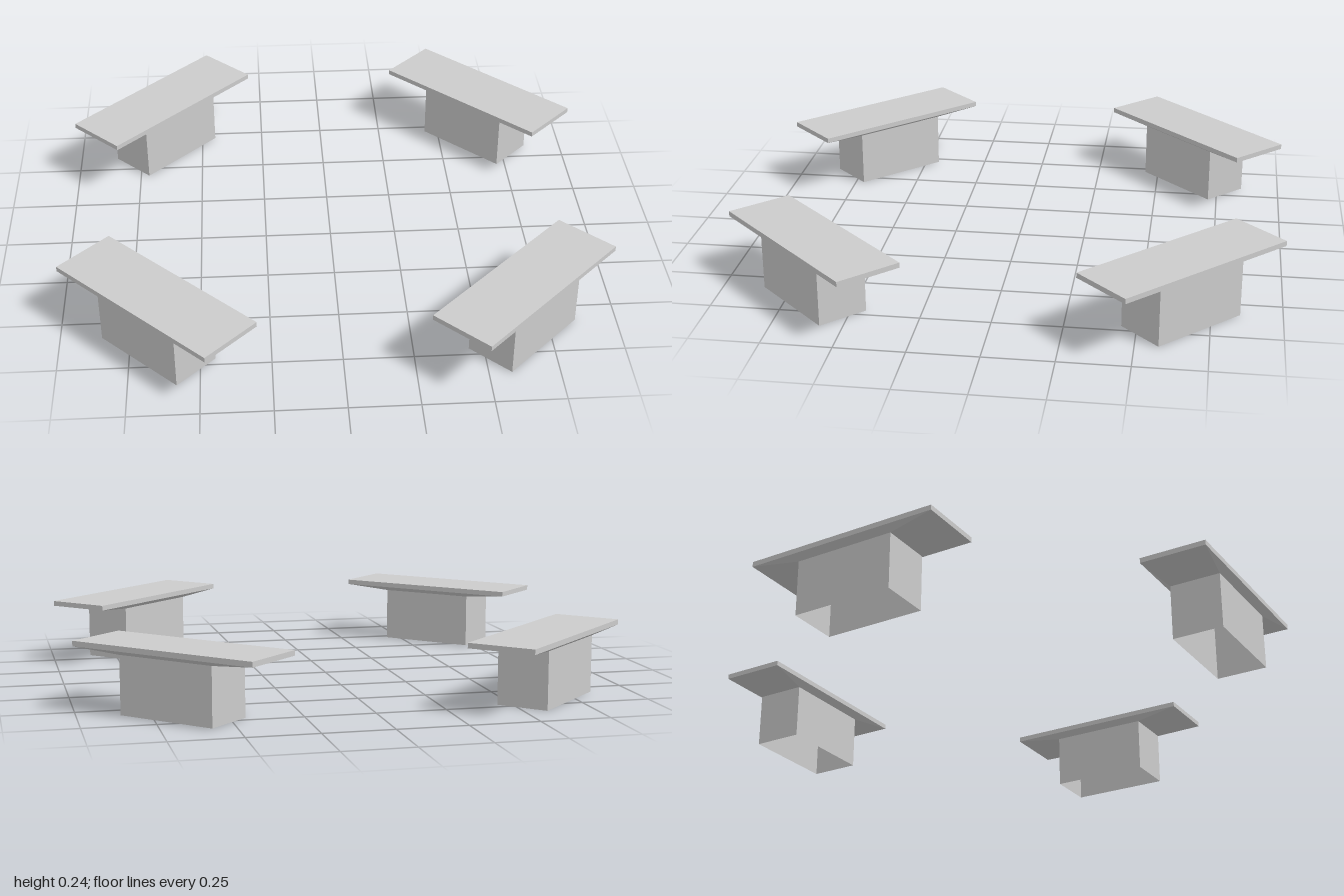
import * as THREE from 'three';

const stone = new THREE.MeshStandardMaterial({ color: 0xcccccc, side: THREE.DoubleSide, flatShading: true });
stone.name = 'light grey stone';

// Half length and half width of the two outlines
const FOOT = [0.191, 0.095];
const SEAT = [0.371, 0.124];

// Rectangular shell between two levels; the top may be closed
function shell(name, [l0, w0], y0, [l1, w1], y1, capped = false) {
  const ring = (l, w, y) => [[-l, y, w], [l, y, w], [l, y, -w], [-l, y, -w]];
  const low = ring(l0, w0, y0);
  const high = ring(l1, w1, y1);
  const points = [];
  const quad = (a, b, c, d) => points.push(...a, ...b, ...c, ...a, ...c, ...d);
  for (let i = 0; i < 4; i++) {
    const j = (i + 1) % 4;
    quad(low[i], low[j], high[j], high[i]);
  }
  if (capped) quad(...high);
  const geometry = new THREE.BufferGeometry();
  geometry.setAttribute('position', new THREE.Float32BufferAttribute(points, 3));
  geometry.computeVertexNormals();
  const mesh = new THREE.Mesh(geometry, stone);
  mesh.name = name;
  return mesh;
}

// Bench: hollow pedestal open below, flared underside, thin seat slab
function createBench() {
  const bench = new THREE.Group();
  bench.add(
    shell('pedestal', FOOT, 0, FOOT, 0.208),
    shell('seatUnderside', FOOT, 0.208, SEAT, 0.225),
    shell('seatSlab', SEAT, 0.225, SEAT, 0.244, true),
  );
  return bench;
}

export function createModel() {
  const model = new THREE.Group();
  model.name = 'benchCircle';
  // Four benches on the diagonals, long sides facing the centre
  for (let i = 0; i < 4; i++) {
    const angle = Math.PI / 4 + (i * Math.PI) / 2;
    const bench = createBench();
    bench.name = `bench${i + 1}`;
    bench.position.set(Math.sin(angle) * 0.918, 0, Math.cos(angle) * 0.918);
    bench.rotation.y = angle;
    model.add(bench);
  }
  return model;
}
